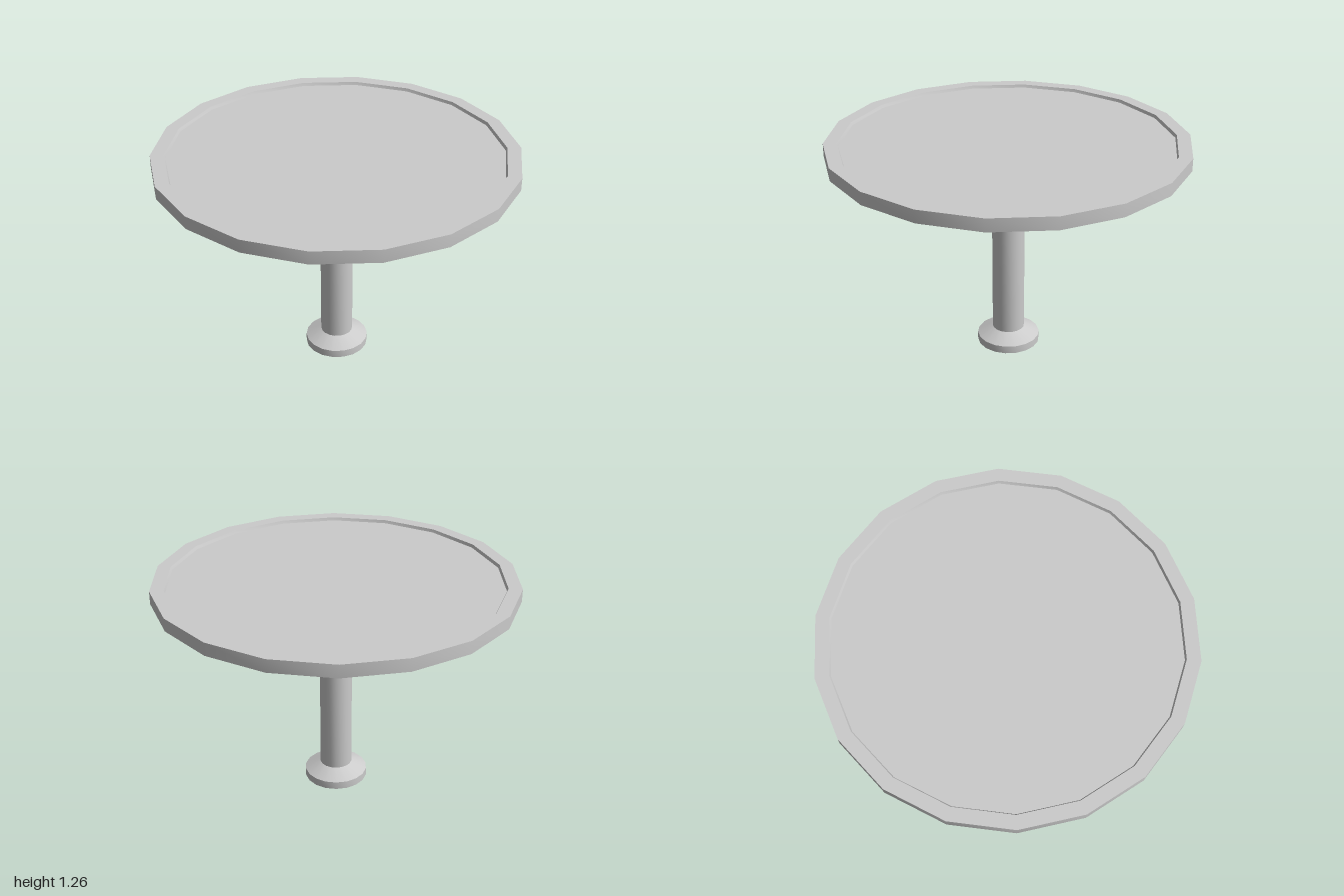
import * as THREE from 'three';
import { toCreasedNormals } from 'three/addons/utils/BufferGeometryUtils.js';

const SIDES = 18;

// Revolve a [radius, height] profile, smooth around the axis and sharp at profile corners
function turned(name, profile, side = THREE.FrontSide) {
  const points = profile.map(([r, y]) => new THREE.Vector2(r, y));
  const geometry = new THREE.LatheGeometry(points, SIDES);
  geometry.rotateY(Math.PI / 2); // put a corner on the x axis
  const material = new THREE.MeshStandardMaterial({ color: 0xcccccc, side });
  const mesh = new THREE.Mesh(toCreasedNormals(geometry, 0.45), material);
  mesh.name = name;
  return mesh;
}

export function createModel() {
  const group = new THREE.Group();
  group.name = 'pedestalTable';

  // Round top with a raised rim and a shallow recess
  group.add(turned('tableTop', [
    [0, 1.19], [1, 1.19], [1, 1.262], [0.925, 1.262], [0.918, 1.245], [0, 1.245],
  ]));

  // Hollow column
  group.add(turned('column', [[0.092, 0.09], [0.092, 1.19]], THREE.DoubleSide));

  // Flared foot, open underneath
  group.add(turned('foot', [[0.18, 0], [0.18, 0.045], [0.092, 0.09]], THREE.DoubleSide));

  return group;
}
